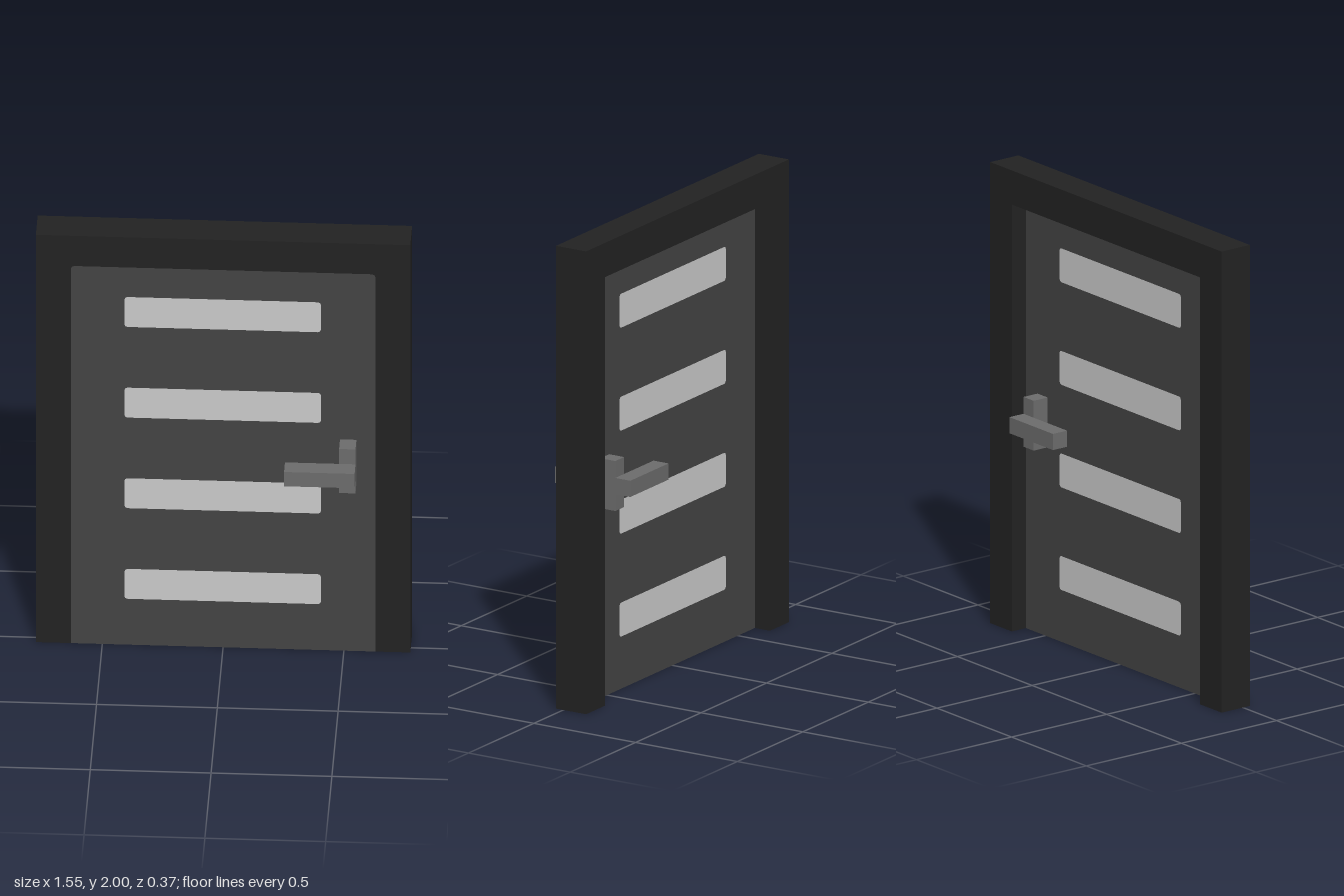
import * as THREE from 'three';

const W = 0.775, H = 2;            // frame half width and height
const OW = 0.63, OH = 1.852;       // opening half width and height
const BACK = -0.112, MID = -0.038, FRONT = 0.036;
const R = 0.014;                   // small corner radius

const mat = (name, color) => {
  const m = new THREE.MeshStandardMaterial({ color });
  m.name = name;
  return m;
};

// Opening outline (open at the floor) with top corners cut by r
const openingPoints = (r) => r > 0
  ? [[-OW, 0], [-OW, OH - r], [-OW + r * 0.3, OH - r * 0.3], [-OW + r, OH],
     [OW - r, OH], [OW - r * 0.3, OH - r * 0.3], [OW, OH - r], [OW, 0]]
  : [[-OW, 0], [-OW, OH], [OW, OH], [OW, 0]];

const toVectors = (pts) => pts.map(([x, y]) => new THREE.Vector2(x, y));

// Window outline with softened corners
function windowPoints(y0, y1) {
  const x0 = -0.408, x1 = 0.405, r = 0.012, k = r * 0.3;
  return toVectors([
    [x0 + r, y0], [x1 - r, y0], [x1 - k, y0 + k], [x1, y0 + r],
    [x1, y1 - r], [x1 - k, y1 - k], [x1 - r, y1], [x0 + r, y1],
    [x0 + k, y1 - k], [x0, y1 - r], [x0, y0 + r], [x0 + k, y0 + k]
  ]);
}

export function createModel() {
  const model = new THREE.Group();
  model.name = 'door';
  const frameMat = mat('frameBlack', 0x222222);
  const doorMat = mat('doorGrey', 0x444444);
  const glassMat = mat('windowLightGrey', 0xcacaca);
  const handleMat = mat('handleGrey', 0x6c6c6c);

  const extrude = (name, shape, z0, z1, material) => {
    const geo = new THREE.ExtrudeGeometry(shape, { depth: z1 - z0, bevelEnabled: false });
    const mesh = new THREE.Mesh(geo, material);
    mesh.position.z = z0;
    mesh.name = name;
    model.add(mesh);
  };

  // Frame: square-cornered rear half, soft-cornered front half around the door
  const frameShape = (r) => new THREE.Shape(toVectors(
    [[-W, 0], [-W, H], [W, H], [W, 0], ...openingPoints(r).reverse()]));
  extrude('frameBack', frameShape(0), BACK, MID, frameMat);
  extrude('frameFront', frameShape(R), MID, FRONT, frameMat);

  // Door leaf with four window openings, and panes flush with both faces
  const leaf = new THREE.Shape(toVectors(openingPoints(R)));
  for (let i = 0; i < 4; i++) {
    const y = 0.225 + i * 0.445;
    const outline = windowPoints(y, y + 0.147);
    leaf.holes.push(new THREE.Path(outline));
    extrude(`window${i + 1}`, new THREE.Shape(outline), MID, FRONT, glassMat);
  }
  extrude('doorLeaf', leaf, MID, FRONT, doorMat);

  // Handles: upright mount and horizontal lever on each face
  const box = (group, name, x0, x1, y0, y1, z) => {
    const mesh = new THREE.Mesh(new THREE.BoxGeometry(x1 - x0, y1 - y0, 0.074), handleMat);
    mesh.position.set((x0 + x1) / 2, (y0 + y1) / 2, z);
    mesh.name = name;
    group.add(mesh);
  };
  for (const [name, z, dir] of [['frontHandle', FRONT, 1], ['backHandle', MID, -1]]) {
    const handle = new THREE.Group();
    handle.name = name;
    box(handle, 'mount', 0.484, 0.552, 0.821, 1.037, z + dir * 0.037);
    box(handle, 'lever', 0.26, 0.552, 0.894, 0.964, z + dir * 0.111);
    model.add(handle);
  }
  return model;
}
